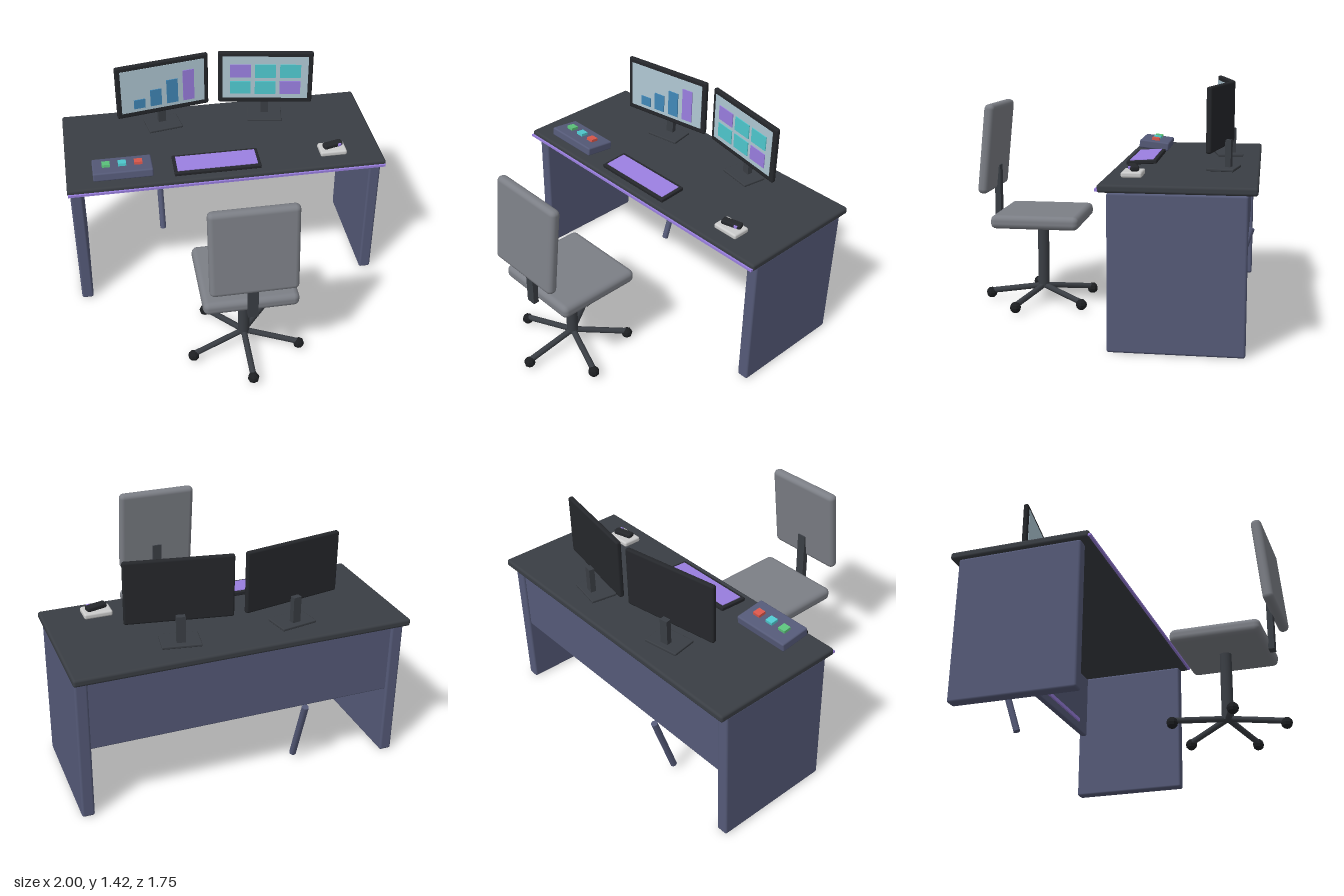
import * as THREE from 'three';
import { RoundedBoxGeometry } from 'three/addons/geometries/RoundedBoxGeometry.js';

const paint = (color, flatShading = false) => new THREE.MeshStandardMaterial({ color, flatShading });
const navy = paint(0x555a78), dark = paint(0x3a3e44), black = paint(0x25272b), grey = paint(0x7c7f86);
const purple = paint(0x9a7fe0), teal = paint(0x4fc9cf), glass = paint(0xb0c8d4), blue = paint(0x4188b8);
const green = paint(0x5cc47c), red = paint(0xdb584c), white = paint(0xd4d4d4), wheel = paint(0x1d1f22, true);

function add(parent, name, geometry, material, x, y, z) {
  const mesh = new THREE.Mesh(geometry, material);
  mesh.name = name;
  mesh.position.set(x, y, z);
  parent.add(mesh);
  return mesh;
}

// Box of size [w, h, d] centred at [x, y, z], rounded when r > 0
function box(parent, name, material, [w, h, d], [x, y, z], r = 0) {
  const geometry = r ? new RoundedBoxGeometry(w, h, d, 2, r) : new THREE.BoxGeometry(w, h, d);
  return add(parent, name, geometry, material, x, y, z);
}

// Round bar from a to b
function bar(parent, name, material, a, b, r0, r1, sides) {
  const dir = b.clone().sub(a);
  const mid = a.clone().add(b).multiplyScalar(0.5);
  const mesh = add(parent, name, new THREE.CylinderGeometry(r1, r0, dir.length(), sides), material, mid.x, mid.y, mid.z);
  mesh.quaternion.setFromUnitVectors(new THREE.Vector3(0, 1, 0), dir.normalize());
  return mesh;
}

function group(parent, name, x = 0, y = 0, z = 0) {
  const g = new THREE.Group();
  g.name = name;
  g.position.set(x, y, z);
  parent.add(g);
  return g;
}

function buildDesk(root) {
  const desk = group(root, 'desk');
  box(desk, 'desktop', dark, [2, 0.045, 0.85], [0, 0.9025, -0.445], 0.015);
  box(desk, 'frontTrim', purple, [1.99, 0.014, 0.02], [0, 0.893, -0.018]);
  for (const s of [-1, 1]) box(desk, 'sidePanel', navy, [0.075, 0.88, 0.75], [s * 0.948, 0.44, -0.445], 0.014);
  box(desk, 'modestyPanel', navy, [1.84, 0.435, 0.04], [0, 0.655, -0.785], 0.008);
  box(desk, 'panelLight', purple, [1.5, 0.024, 0.014], [0, 0.502, -0.76]);
  bar(desk, 'cableSleeve', navy, new THREE.Vector3(-0.375, 0.028, -0.688), new THREE.Vector3(-0.375, 0.436, -0.821), 0.021, 0.021, 8);
}

// Monitor with stand; s = side of the desk, turned inward
function buildMonitor(root, s) {
  const m = group(root, 'monitor', s * 0.337, 0, -0.64);
  m.rotation.y = -s * 0.172;
  box(m, 'screenHousing', black, [0.615, 0.37, 0.032], [0, 1.236, 0], 0.012);
  box(m, 'screen', glass, [0.555, 0.305, 0.006], [0, 1.24, 0.0155]);
  box(m, 'standNeck', dark, [0.05, 0.17, 0.034], [0, 1.015, -0.05]);
  box(m, 'standBase', dark, [0.225, 0.016, 0.16], [0, 0.935, -0.022], 0.005);
  return m;
}

function buildScreens(root) {
  const chart = buildMonitor(root, -1);
  [0.064, 0.118, 0.17, 0.22].forEach((h, i) =>
    box(chart, 'chartBar', i === 3 ? purple : blue, [0.075, h, 0.008], [-0.16 + i * 0.11, 1.112 + h / 2, 0.02]));
  const tiles = buildMonitor(root, 1);
  for (let row = 0; row < 2; row++) for (let col = 0; col < 3; col++) {
    const accent = (row === 0 && col === 0) || (row === 1 && col === 2);
    box(tiles, 'tile', accent ? purple : teal, [0.135, 0.094, 0.008], [(col - 1) * 0.162, 1.289 - row * 0.121, 0.02]);
  }
}

function buildDeskItems(root) {
  // Keyboard, raised slightly at the back
  const keyboard = group(root, 'keyboard', -0.062, 0.939, -0.162);
  keyboard.rotation.x = 0.06;
  box(keyboard, 'keyboardBase', black, [0.545, 0.024, 0.184], [0, 0, 0], 0.006);
  box(keyboard, 'keyArea', purple, [0.505, 0.008, 0.142], [0, 0.012, 0]);

  // Control box with three buttons
  const control = group(root, 'controlBox', -0.65, 0.962, -0.162);
  control.rotation.x = -0.12;
  box(control, 'controlCase', navy, [0.37, 0.055, 0.196], [0, 0, 0], 0.01);
  [green, teal, red].forEach((c, i) => box(control, 'button', c, [0.05, 0.02, 0.05], [(i - 1) * 0.1, 0.035, 0]));

  // Small tray holding a dark gadget
  box(root, 'tray', white, [0.17, 0.034, 0.118], [0.685, 0.944, -0.175], 0.012);
  const gadget = group(root, 'gadget', 0.687, 0.977, -0.178);
  gadget.rotation.y = 0.27;
  box(gadget, 'gadgetBody', black, [0.128, 0.032, 0.05], [0, 0, 0], 0.012);
  box(gadget, 'gadgetTab', purple, [0.02, 0.014, 0.03], [0.036, 0.004, 0.02]);
}

function buildChair(root) {
  const cz = 0.494;
  const chair = group(root, 'chair');
  box(chair, 'seat', grey, [0.57, 0.086, 0.55], [0, 0.558, 0.492], 0.035);
  const back = box(chair, 'backrest', grey, [0.515, 0.555, 0.066], [0, 1.003, 0.792], 0.03);
  back.rotation.x = -0.1;
  box(chair, 'backPost', dark, [0.06, 0.375, 0.036], [0, 0.692, 0.781]);
  bar(chair, 'column', dark, new THREE.Vector3(0, 0.09, cz), new THREE.Vector3(0, 0.525, cz), 0.036, 0.036, 16);
  // Five-spoke base with castors
  for (let i = 0; i < 5; i++) {
    const a = i * Math.PI * 2 / 5;
    const x = Math.sin(a), z = Math.cos(a);
    bar(chair, 'spoke', dark, new THREE.Vector3(0, 0.102, cz), new THREE.Vector3(x * 0.34, 0.052, cz + z * 0.34), 0.019, 0.019, 8);
    const castor = add(chair, 'castor', new THREE.SphereGeometry(0.035, 8, 6), wheel, x * 0.348, 0.038, cz + z * 0.348);
    castor.rotation.y = a;
  }
}

export function createModel() {
  const root = new THREE.Group();
  root.name = 'workstation';
  buildDesk(root);
  buildScreens(root);
  buildDeskItems(root);
  buildChair(root);
  return root;
}
